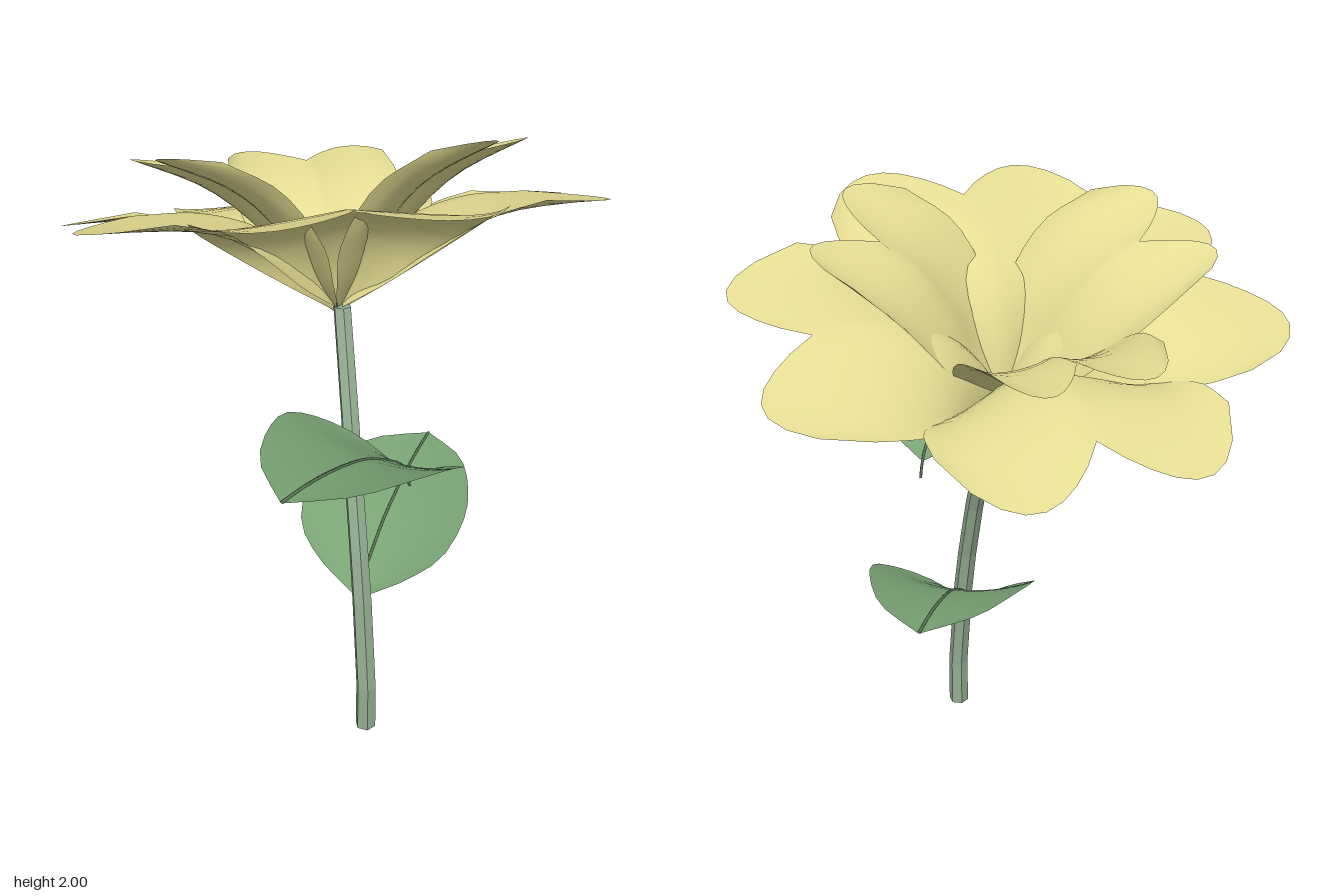
import * as THREE from 'three';

const mat = (color, extra) => new THREE.MeshStandardMaterial({ color, ...extra });
const petalMat = mat(0xe4dc92, { side: THREE.DoubleSide });
const leafMat = mat(0x7aa375, { side: THREE.DoubleSide });
const stemMat = mat(0x93ae90, { flatShading: true });
const veinMat = mat(0x5f7d5b);

const curve = pts => new THREE.CatmullRomCurve3(pts.map(p => new THREE.Vector3(...p)));

// Blade growing along +z: a centre line and a mirrored edge line, blended across.
// lobe pushes the tip out into two rounded lobes with a notch between them.
function bladeGeometry(centre, edge, { lobe = 0, lobeRise = 0, rows = 14, cols = 16 } = {}) {
  const geo = new THREE.PlaneGeometry(1, 1, cols, rows);
  const pos = geo.attributes.position;
  for (let j = 0; j <= rows; j++) {
    const t = j / rows;
    const c = centre.getPoint(t), e = edge.getPoint(t);
    for (let i = 0; i <= cols; i++) {
      const v = (2 * i) / cols - 1, a = Math.abs(v);
      const bump = t ** 3 * Math.max(0, Math.sin(Math.PI * a ** 1.25)) ** 0.7;
      pos.setXYZ(j * (cols + 1) + i,
        v * e.x,
        THREE.MathUtils.lerp(c.y, e.y, v * v) + lobeRise * bump,
        THREE.MathUtils.lerp(c.z, e.z, v * v) + lobe * bump);
    }
  }
  geo.computeVertexNormals();
  return geo;
}

// Wide outer petal: rises steeply along its middle, then spreads flat
const outerPetal = bladeGeometry(
  curve([[0, 0, 0], [0, 0.15, 0.09], [0, 0.27, 0.22], [0, 0.33, 0.4], [0, 0.335, 0.6]]),
  curve([[0.02, 0.01, 0], [0.14, 0.09, 0.13], [0.3, 0.2, 0.27], [0.42, 0.29, 0.4], [0.44, 0.325, 0.54]]),
  { lobe: 0.21, lobeRise: -0.025 });

// Narrower, deeply cupped inner petal whose sides wrap round the base
const innerPetal = bladeGeometry(
  curve([[0, 0, 0], [0, 0.12, 0.09], [0, 0.26, 0.18], [0, 0.38, 0.29], [0, 0.46, 0.42]]),
  curve([[0.01, 0, 0], [0.13, 0.1, 0.06], [0.225, 0.22, 0.12], [0.275, 0.39, 0.26], [0.26, 0.48, 0.42]]),
  { lobe: 0.16, lobeRise: 0.03 });

// Leaf blade and its midrib
const ribPoints = [[0, 0, 0], [0, 0.05, 0.04], [0, 0.1, 0.11], [0, 0.17, 0.23],
  [0, 0.22, 0.38], [0, 0.25, 0.53], [0, 0.26, 0.65]];
const leafBlade = bladeGeometry(curve(ribPoints),
  curve([[0.01, 0, 0], [0.15, 0.09, 0.03], [0.245, 0.16, 0.1], [0.275, 0.235, 0.23],
    [0.24, 0.265, 0.37], [0.155, 0.27, 0.53], [0, 0.26, 0.65]]));
const ribTube = new THREE.TubeGeometry(curve([[0, -0.06, -0.02], ...ribPoints]), 20, 0.005, 5);

// Stem: a six-sided column whose rings follow the points of its centre line
function stemGeometry() {
  const path = [[0.045, 0, 0.35], [0.045, 0.17, 0.35], [0.035, 0.5, 0.31], [0.03, 0.66, 0.275],
    [0.025, 0.87, 0.21], [0.025, 1.08, 0.12], [0.022, 1.4, -0.02]];
  const geo = new THREE.CylinderGeometry(0.029, 0.035, 1, 6, path.length - 1);
  const pos = geo.attributes.position;
  for (let i = 0; i < pos.count; i++) {
    const [x, y, z] = path[Math.round((pos.getY(i) + 0.5) * (path.length - 1))];
    pos.setXYZ(i, pos.getX(i) + x, y, pos.getZ(i) + z);
  }
  geo.computeVertexNormals();
  return geo;
}

export function createModel() {
  const model = new THREE.Group();
  model.name = 'flower';
  const add = (parent, name, geo, material, turn = 0, length = 1) => {
    const mesh = new THREE.Mesh(geo, material);
    mesh.name = name;
    mesh.rotation.y = turn;
    mesh.scale.z = length;
    parent.add(mesh);
  };

  add(model, 'stem', stemGeometry(), stemMat);

  // Flower head, tipped towards the back; each petal has a turn and a length
  const head = new THREE.Group();
  head.name = 'flowerHead';
  head.position.set(0.01, 1.375, -0.03);
  head.rotation.x = THREE.MathUtils.degToRad(-20);
  model.add(head);
  [[-0.05, 0.98], [Math.PI / 2, 1.01], [Math.PI + 0.05, 0.95], [-Math.PI / 2 + 0.11, 1.02]]
    .forEach(([turn, length], i) => add(head, `outerPetal${i + 1}`, outerPetal, petalMat, turn, length));
  [[1.01, 1], [Math.PI + 0.05, 0.93], [-1.344, 1]]
    .forEach(([turn, length], i) => add(head, `innerPetal${i + 1}`, innerPetal, petalMat, turn, length));

  // Two leaves, one leaning forwards and one backwards
  [['upperLeaf', [0.16, 1.01, 0.35], -0.742], ['lowerLeaf', [0.03, 0.48, 0.265], 2.578]]
    .forEach(([name, at, turn]) => {
      const leaf = new THREE.Group();
      leaf.name = name;
      leaf.position.set(...at);
      leaf.rotation.y = turn;
      add(leaf, 'leafBlade', leafBlade, leafMat);
      add(leaf, 'leafMidrib', ribTube, veinMat);
      model.add(leaf);
    });

  return model;
}
